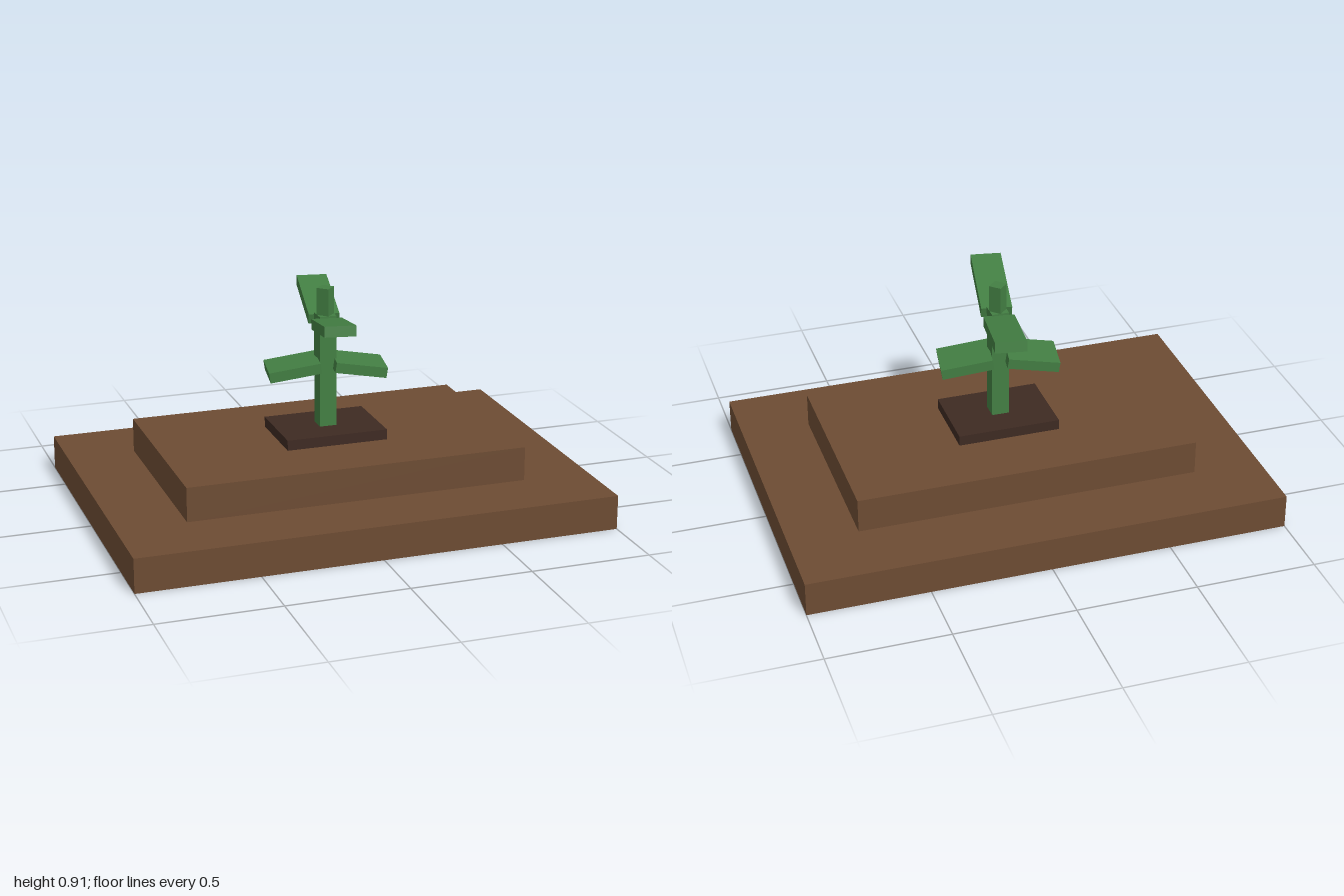
import * as THREE from 'three';

export function createModel() {
  const model = new THREE.Group();
  const make = (name, color) => {
    const m = new THREE.MeshStandardMaterial({ color });
    m.name = name;
    return m;
  };
  const soil = make('soilBrown', 0x6d4c33);
  const darkSoil = make('darkSoil', 0x3e2a22);
  const green = make('plantGreen', 0x437f43);

  // Box standing on height y
  const block = (name, material, w, h, d, y) => {
    const mesh = new THREE.Mesh(new THREE.BoxGeometry(w, h, d), material);
    mesh.name = name;
    mesh.position.y = y + h / 2;
    model.add(mesh);
    return mesh;
  };

  // Stepped mound
  block('lowerStep', soil, 2, 0.143, 1.429, 0);
  block('upperStep', soil, 1.429, 0.143, 0.857, 0.143);
  block('plantingPatch', darkSoil, 0.429, 0.043, 0.314, 0.286);

  // Stem with a turned shoot on top
  block('stem', green, 0.072, 0.471, 0.072, 0.329);
  block('shoot', green, 0.053, 0.114, 0.053, 0.8).rotation.y = Math.PI / 4;

  // Leaf reaching outward from the stem, turned by yaw and tilted by pitch
  const leaf = (name, yaw, pitch, length, width, radius, y) => {
    const pivot = new THREE.Group();
    pivot.name = name;
    pivot.rotation.y = THREE.MathUtils.degToRad(yaw);
    const blade = new THREE.Mesh(new THREE.BoxGeometry(length, 0.043, width), green);
    blade.name = name + 'Blade';
    blade.position.set(radius, y, 0);
    blade.rotation.z = pitch;
    pivot.add(blade);
    model.add(pivot);
  };

  // Drooping lower pair and rising upper pair
  leaf('lowerLeftLeaf', -10, -0.15, 0.214, 0.186, 0.136, 0.581);
  leaf('lowerRightLeaf', 170, -0.15, 0.214, 0.186, 0.136, 0.581);
  leaf('upperBackLeaf', 80, 0.2, 0.357, 0.127, 0.212, 0.806);
  leaf('upperFrontLeaf', 260, 0.2, 0.357, 0.127, 0.212, 0.806);

  return model;
}
